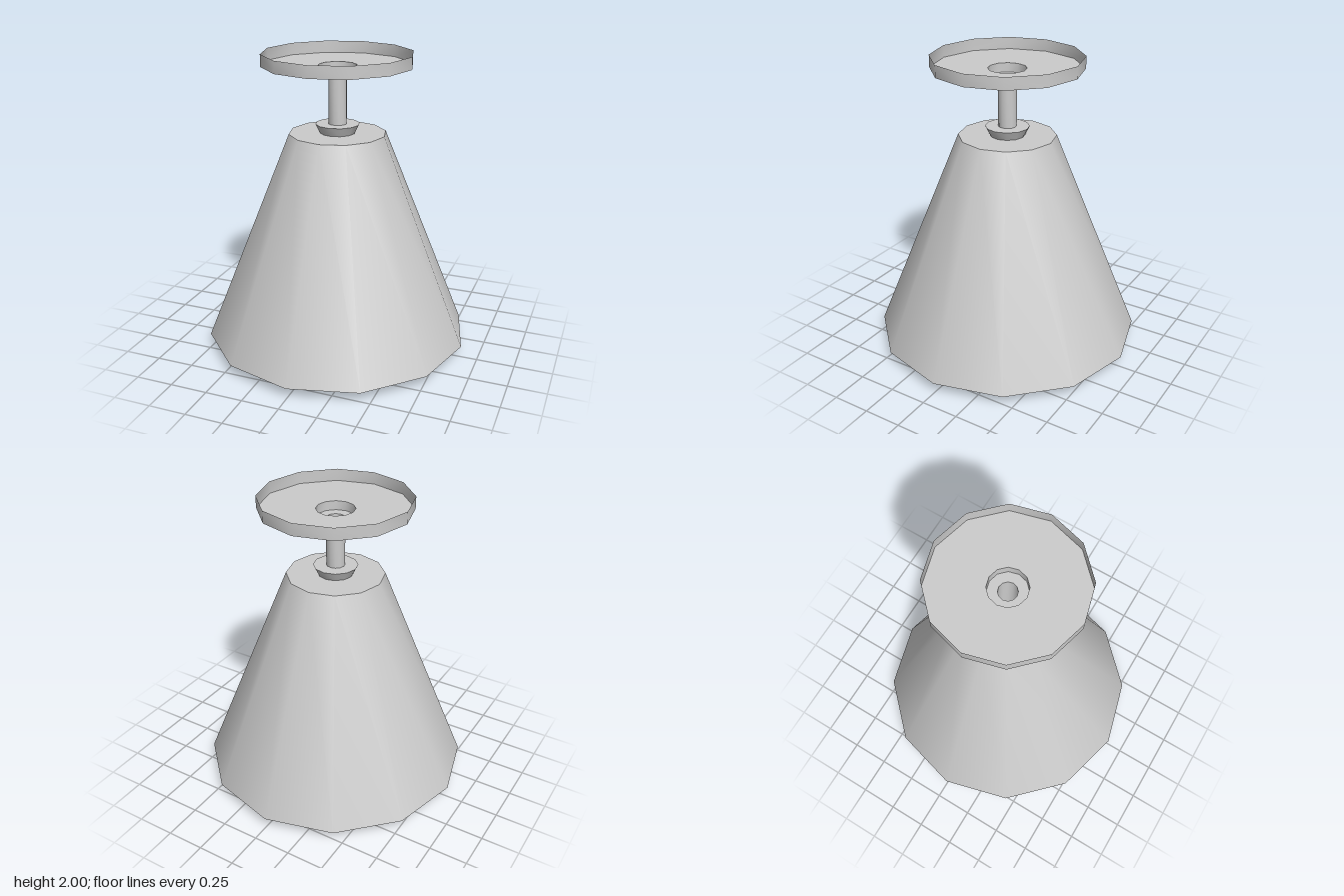
import * as THREE from 'three';
import { toCreasedNormals } from 'three/addons/utils/BufferGeometryUtils.js';

const material = new THREE.MeshStandardMaterial({ color: 0xcccccc, side: THREE.DoubleSide });

// Turned part: profile of [radius, height], smooth around and sharp at the rims
function turned(name, profile, sides = 12) {
  const points = profile.map(([r, y]) => new THREE.Vector2(r, y));
  const geometry = toCreasedNormals(new THREE.LatheGeometry(points, sides), 0.8);
  const mesh = new THREE.Mesh(geometry, material);
  mesh.name = name;
  return mesh;
}

export function createModel() {
  const lamp = new THREE.Group();
  lamp.name = 'ceilingLamp';

  // Rod, collar and ceiling dish, one thin skin open at the top
  lamp.add(turned('rodAndCanopy', [
    [0.06, 1.54], [0.06, 1.86],
    [0.125, 1.86], [0.125, 1.92],
    [0.49, 1.92], [0.49, 2],
  ]));

  // Tapered flange between rod and shade
  lamp.add(turned('flange', [[0, 1.48], [0.115, 1.48], [0.145, 1.54], [0, 1.54]]));

  // Conical shade with wall thickness, closed on top and open below
  lamp.add(turned('shade', [
    [0, 1.45], [0.3, 1.45], [0.86, 0.075],
    [0.89, 0.075], [0.32, 1.48], [0, 1.48],
  ]));

  // Short stem carrying the bulb inside the shade
  lamp.add(turned('bulbStem', [[0.06, 0.98], [0.06, 1.46]]));

  // Low-poly round bulb, its lowest point just below the shade
  const bulb = new THREE.Mesh(new THREE.SphereGeometry(0.5, 8, 4), material);
  bulb.name = 'bulb';
  bulb.position.y = 0.5;
  lamp.add(bulb);

  return lamp;
}
